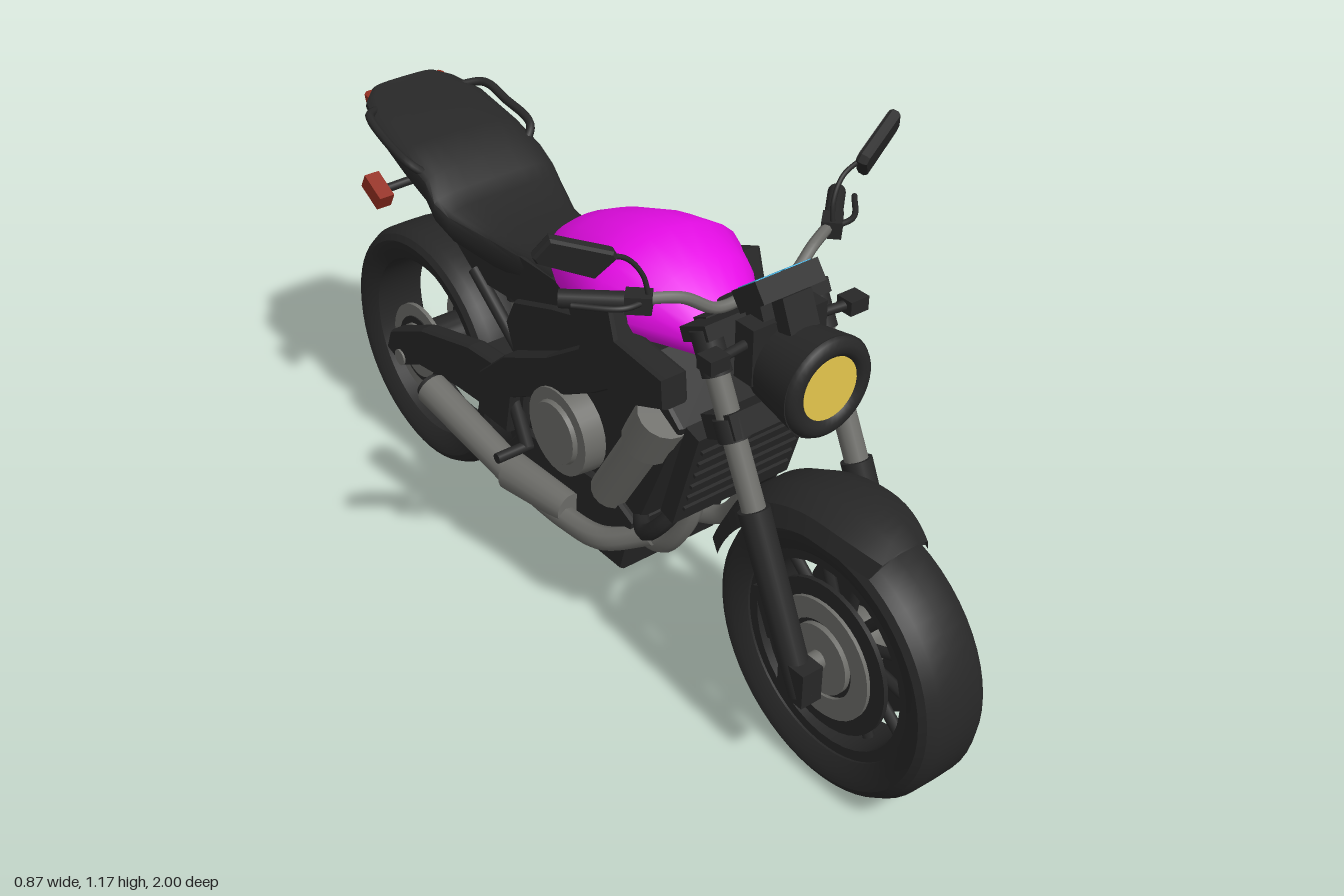
import * as THREE from 'three';
import { toCreasedNormals } from 'three/addons/utils/BufferGeometryUtils.js';

const mat = (name, color) => {
  const m = new THREE.MeshStandardMaterial({ color, side: THREE.DoubleSide });
  m.name = name;
  return m;
};

export function createModel() {
  const root = new THREE.Group();
  root.name = 'motorcycle';
  const black = mat('black', 0x272727), grey = mat('metal grey', 0x6c6c68), magenta = mat('magenta', 0xe60ce6);
  const yellow = mat('lamp yellow', 0xe4c64c), red = mat('lamp red', 0x922e20);
  const blue = mat('screen blue', 0x45b8ea), glass = mat('mirror glass', 0xb0b0b0);
  const V = (p) => new THREE.Vector3(...p);

  const add = (name, geo, m, parent = root) => {
    const mesh = new THREE.Mesh(geo, m);
    mesh.name = name;
    parent.add(mesh);
    return mesh;
  };
  const box = (name, size, pos, m, rot = [0, 0, 0]) => {
    const b = add(name, new THREE.BoxGeometry(...size), m);
    b.position.set(...pos);
    b.rotation.set(...rot);
  };
  // cylinder between two points
  const rod = (name, a, b, r1, m, r2 = r1, parent = root, seg = 16) => {
    const d = V(b).sub(V(a));
    const c = add(name, new THREE.CylinderGeometry(r2, r1, d.length(), seg), m, parent);
    c.position.copy(V(a)).addScaledVector(d, 0.5);
    c.quaternion.setFromUnitVectors(new THREE.Vector3(0, 1, 0), d.normalize());
  };
  const tube = (name, pts, r, m) =>
    add(name, new THREE.TubeGeometry(new THREE.CatmullRomCurve3(pts.map(V)), 28, r, 8), m);
  // side outline of [z, y] points extruded across x
  const plate = (name, pts, x0, x1, m, bevel = 0.008) => {
    const g = new THREE.ExtrudeGeometry(new THREE.Shape(pts.map((p) => new THREE.Vector2(...p))), {
      depth: x1 - x0 - 2 * bevel, bevelEnabled: true, bevelSize: bevel / 2, bevelThickness: bevel, bevelSegments: 1 });
    g.rotateY(-Math.PI / 2).translate(x1 - bevel, 0, 0);
    return add(name, g, m);
  };
  // body through [z, halfWidth, bottom, widestY, top], front to back
  const loft = (name, secs, m, pow = 0.8, n = 24) => {
    const pos = [], idx = [];
    secs.forEach(([z, w, yb, ym, yt]) => {
      for (let j = 0; j < n; j++) {
        const a = (j / n) * Math.PI * 2, c = Math.cos(a), s = Math.sin(a);
        const y = Math.sign(s) * Math.abs(s) ** pow;
        pos.push(w * Math.sign(c) * Math.abs(c) ** pow, ym + y * (y > 0 ? yt - ym : ym - yb), z);
      }
    });
    const last = (secs.length - 1) * n, c0 = secs.length * n;
    for (const s of [secs[0], secs.at(-1)]) pos.push(0, s[3], s[0]);
    for (let j = 0; j < n; j++) {
      const k = (j + 1) % n;
      for (let i = 0; i < last; i += n) idx.push(i + j, i + n + j, i + k, i + k, i + n + j, i + n + k);
      idx.push(c0, j, k, c0 + 1, last + k, last + j);
    }
    const g = new THREE.BufferGeometry();
    g.setAttribute('position', new THREE.Float32BufferAttribute(pos, 3));
    g.setIndex(idx);
    return add(name, toCreasedNormals(g, 0.7), m);
  };
  // lathe of [radius, x] points turned about the wheel axle
  const axleLathe = (name, pts, m, parent, start = 0, len = Math.PI * 2, seg = 56) => {
    const g = new THREE.LatheGeometry(pts.map((p) => new THREE.Vector2(...p)), seg, start, len);
    return add(name, toCreasedNormals(g.rotateZ(Math.PI / 2), 0.5), m, parent);
  };
  const disc = (name, r0, r1, x, t, m, parent) =>
    axleLathe(name, [[r0, x - t], [r1, x - t], [r1, x + t], [r0, x + t], [r0, x - t]], m, parent, 0, Math.PI * 2, 36);
  const both = (fn) => [1, -1].forEach(fn);

  // wheels
  const wheel = (name, z) => {
    const g = new THREE.Group();
    g.name = name;
    g.position.set(0, 0.3, z);
    root.add(g);
    axleLathe('tire', [[0.222, -0.06], [0.25, -0.078], [0.272, -0.08], [0.287, -0.072], [0.299, -0.05], [0.3, 0],
      [0.299, 0.05], [0.287, 0.072], [0.272, 0.08], [0.25, 0.078], [0.222, 0.06], [0.222, -0.06]], black, g);
    rod('axle', [-0.14, 0, 0], [0.14, 0, 0], 0.02, grey, 0.02, g);
    return g;
  };
  const front = wheel('frontWheel', 0.7);
  disc('rim', 0.2, 0.223, 0, 0.055, black, front);
  disc('hub', 0.01, 0.06, 0, 0.06, grey, front);
  for (let i = 0; i < 12; i++) {
    const a = (i / 12) * Math.PI * 2;
    rod('spoke', [0, 0.05 * Math.cos(a), 0.05 * Math.sin(a)],
      [0, 0.21 * Math.cos(a + 0.12), 0.21 * Math.sin(a + 0.12)], 0.012, black, 0.012, front, 6);
  }
  both((s) => {
    disc('discCarrier', 0.03, 0.165, s * 0.055, 0.005, black, front);
    disc('brakeDisc', 0.085, 0.13, s * 0.066, 0.004, grey, front);
    disc('discCentre', 0.02, 0.075, s * 0.068, 0.006, grey, front);
  });
  const rear = wheel('rearWheel', -0.7);
  disc('hub', 0.02, 0.06, 0, 0.07, black, rear);
  both((s) => {
    disc('brakeDisc', 0.07, 0.115, s * 0.075, 0.005, grey, rear);
    disc('discCentre', 0.02, 0.085, s * 0.075, 0.008, black, rear);
    disc('sprocketRing', 0.03, 0.068, s * 0.084, 0.005, grey, rear);
  });

  // front fender, narrowing to a rounded front tip
  const fender = new THREE.Group();
  fender.name = 'frontFender';
  fender.position.set(0, 0.3, 0.7);
  root.add(fender);
  const shell = axleLathe('fenderShell', [[0.29, -0.1], [0.325, -0.085], [0.348, -0.035], [0.348, 0.035], [0.325, 0.085], [0.29, 0.1],
    [0.315, 0.08], [0.338, 0.035], [0.338, -0.035], [0.315, -0.08], [0.29, -0.1]], black, fender, 1.17, 1.63, 24);
  const fp = shell.geometry.attributes.position;
  for (let i = 0; i < fp.count; i++) {
    const t = Math.max(0, fp.getZ(i)) / 0.14;
    fp.setX(i, fp.getX(i) * (1 - 0.4 * t * t));
  }

  // fork, grips, mirrors, pegs and lamps, mirrored left and right
  both((s) => {
    const x = s * 0.13;
    rod('forkLower', [x, 0.26, 0.72], [x, 0.6, 0.56], 0.028, black, 0.032);
    rod('forkTube', [x, 0.58, 0.57], [x, 0.86, 0.435], 0.024, grey);
    rod('forkClamp', [x, 0.725, 0.5], [x, 0.765, 0.48], 0.032, black);
    rod('forkCap', [x, 0.84, 0.445], [x, 0.92, 0.405], 0.03, black);
    box('forkFoot', [0.05, 0.08, 0.07], [x, 0.29, 0.71], black);
    box('brakeCaliper', [0.045, 0.11, 0.05], [s * 0.095, 0.37, 0.6], black, [-0.45, 0, 0]);
    tube('handlebar', [[0, 0.94, 0.39], [s * 0.09, 0.94, 0.39], [s * 0.16, 0.98, 0.375], [s * 0.25, 0.988, 0.335]], 0.012, grey);
    rod('grip', [s * 0.24, 0.985, 0.34], [s * 0.34, 0.982, 0.245], 0.018, black);
    box('switchBox', [0.05, 0.035, 0.04], [s * 0.235, 0.985, 0.345], black, [0, s * 0.75, 0]);
    tube('lever', [[s * 0.23, 0.99, 0.36], [s * 0.28, 0.99, 0.355], [s * 0.345, 0.99, 0.29]], 0.006, black);
    tube('mirrorStem', [[s * 0.222, 0.99, 0.36], [s * 0.23, 1.04, 0.35], [s * 0.26, 1.08, 0.34], [s * 0.315, 1.1, 0.335]], 0.005, black);
    const mirror = new THREE.Group();
    mirror.name = 'mirror';
    mirror.position.set(s * 0.36, 1.115, 0.32);
    mirror.rotation.set(0.3, s * 0.4, s * 0.32);
    root.add(mirror);
    const outline = new THREE.Shape([[-0.055, -0.03], [0.06, -0.026], [0.07, -0.018], [0.062, 0.026], [-0.06, 0.03], [-0.07, 0.022]]
      .map(([a, b]) => new THREE.Vector2(a * s, b)));
    add('mirrorShell', new THREE.ExtrudeGeometry(outline, { depth: 0.012, bevelSize: 0.004, bevelThickness: 0.006, bevelSegments: 1 }), black, mirror);
    const pane = add('mirrorGlass', new THREE.ShapeGeometry(outline), glass, mirror);
    pane.position.z = -0.0075;
    pane.scale.set(0.94, 0.9, 1);
    rod('frontIndicatorStalk', [s * 0.08, 0.9, 0.47], [s * 0.16, 0.9, 0.48], 0.01, black);
    box('frontIndicator', [0.045, 0.03, 0.04], [s * 0.17, 0.9, 0.48], black);
    rod('rearIndicatorStalk', [s * 0.1, 0.8, -0.62], [s * 0.18, 0.78, -0.65], 0.01, black);
    box('rearIndicator', [0.036, 0.038, 0.07], [s * 0.188, 0.78, -0.655], red, [0.5, 0, 0]);
    tube('grabRail', [[s * 0.12, 0.84, -0.53], [s * 0.16, 0.875, -0.56], [s * 0.162, 0.9, -0.66], [s * 0.152, 0.92, -0.73], [s * 0.11, 0.91, -0.77]], 0.01, black);
    rod('footPeg', [s * 0.1, 0.34, -0.17], [s * 0.22, 0.34, -0.17], 0.012, black);
    rod('pegBracket', [s * 0.14, 0.45, -0.22], [s * 0.14, 0.34, -0.17], 0.016, black);

    // frame, shrouds and swingarm
    const span = (a, b) => (s > 0 ? [a, b] : [-b, -a]);
    plate('tankShroud', [[0.19, 0.885], [0.06, 0.83], [0.1, 0.75], [0.08, 0.71], [0.24, 0.69], [0.36, 0.74], [0.355, 0.8], [0.21, 0.815]], ...span(0.13, 0.19), black);
    plate('frameBeam', [[0.24, 0.75], [0.1, 0.74], [-0.06, 0.63], [-0.22, 0.55], [-0.32, 0.46], [-0.32, 0.36], [-0.22, 0.36], [-0.2, 0.46], [-0.04, 0.55], [0.1, 0.63], [0.2, 0.7]], ...span(0.115, 0.16), black);
    plate('sideCover', [[0.04, 0.75], [-0.1, 0.71], [-0.24, 0.66], [-0.27, 0.6], [-0.24, 0.52], [-0.04, 0.6]], ...span(0.075, 0.115), black);
    plate('swingarm', [[-0.18, 0.49], [-0.4, 0.475], [-0.6, 0.42], [-0.74, 0.35], [-0.76, 0.3], [-0.7, 0.28], [-0.62, 0.32], [-0.45, 0.345], [-0.2, 0.36]], ...span(0.09, 0.135), black);
    rod('seatStrut', [s * 0.1, 0.5, -0.2], [s * 0.1, 0.66, -0.41], 0.015, black);
    rod('crankCover', [s * 0.1, 0.47, -0.02], [s * 0.165, 0.47, -0.02], 0.105, grey, 0.1, root, 28);
    rod('crankCap', [s * 0.16, 0.47, -0.02], [s * 0.175, 0.47, -0.02], 0.075, grey, 0.07, root, 28);
    rod('cylinderSide', [s * 0.115, 0.37, 0.1], [s * 0.115, 0.58, 0.23], 0.045, grey);
    rod('cylinderHead', [s * 0.11, 0.56, 0.22], [s * 0.11, 0.65, 0.27], 0.058, grey);
    tube('radiatorHose', [[s * 0.12, 0.46, 0.33], [s * 0.14, 0.41, 0.3], [s * 0.14, 0.36, 0.25], [s * 0.1, 0.34, 0.18]], 0.018, black);
  });
  box('lowerYoke', [0.3, 0.05, 0.09], [0, 0.745, 0.475], black, [-0.45, 0, 0]);
  box('upperYoke', [0.3, 0.03, 0.08], [0, 0.91, 0.4], black, [-0.45, 0, 0]);
  rod('steeringHead', [0, 0.72, 0.44], [0, 0.92, 0.36], 0.05, black);
  box('headstockCover', [0.21, 0.18, 0.04], [0, 0.83, 0.4], black, [-0.45, 0, 0]);

  // headlight and dash
  rod('headlightShell', [0, 0.84, 0.48], [0, 0.84, 0.6], 0.085, black, 0.105, root, 32);
  const bezel = add('headlightBezel', new THREE.TorusGeometry(0.083, 0.021, 10, 36), black);
  bezel.position.set(0, 0.84, 0.596);
  rod('headlightLens', [0, 0.84, 0.6], [0, 0.84, 0.608], 0.065, yellow, 0.065, root, 32);
  box('headlightBracket', [0.18, 0.12, 0.05], [0, 0.88, 0.47], black);
  box('dashPod', [0.15, 0.045, 0.08], [0, 0.987, 0.458], black, [-0.65, 0, 0]);
  box('dashNeck', [0.11, 0.08, 0.05], [0, 0.94, 0.455], black, [-0.4, 0, 0]);
  box('dashCowl', [0.07, 0.07, 0.035], [0, 0.955, 0.505], black, [-0.4, 0, 0]);
  both((s) => box('dashScreen', [0.062, 0.006, 0.058], [s * 0.035, 1.0038, 0.4452], blue, [-0.65, 0, 0]));

  // tank
  loft('fuelTank', [[0.36, 0.05, 0.78, 0.81, 0.83], [0.31, 0.09, 0.77, 0.83, 0.885], [0.24, 0.137, 0.77, 0.84, 0.94],
    [0.14, 0.187, 0.76, 0.84, 0.966], [0.05, 0.172, 0.745, 0.83, 0.955], [-0.06, 0.135, 0.745, 0.82, 0.92],
    [-0.13, 0.1, 0.76, 0.82, 0.885], [-0.175, 0.062, 0.78, 0.81, 0.85]], magenta, 0.95);

  // seat and tail
  loft('seat', [[-0.12, 0.1, 0.71, 0.75, 0.8], [-0.22, 0.1, 0.69, 0.75, 0.79], [-0.33, 0.115, 0.68, 0.76, 0.79],
    [-0.43, 0.15, 0.71, 0.78, 0.81], [-0.47, 0.16, 0.74, 0.8, 0.83], [-0.51, 0.155, 0.77, 0.83, 0.865], [-0.6, 0.153, 0.8, 0.86, 0.895],
    [-0.73, 0.145, 0.86, 0.895, 0.92], [-0.8, 0.12, 0.89, 0.91, 0.933], [-0.83, 0.085, 0.91, 0.925, 0.94]], black, 0.6);
  plate('subframe', [[-0.05, 0.77], [-0.4, 0.77], [-0.5, 0.82], [-0.8, 0.925], [-0.63, 0.79], [-0.5, 0.71], [-0.4, 0.64], [-0.25, 0.65], [-0.08, 0.7]], -0.1, 0.1, black);
  plate('tailLight', [[-0.745, 0.875], [-0.77, 0.87], [-0.825, 0.908], [-0.83, 0.924], [-0.79, 0.92]], -0.105, 0.105, red);

  // engine, belly pan and radiator
  plate('engineBlock', [[0.12, 0.3], [-0.26, 0.28], [-0.31, 0.42], [-0.22, 0.56], [0, 0.68], [0.2, 0.74], [0.32, 0.64], [0.24, 0.45], [0.2, 0.36]], -0.115, 0.115, black);
  plate('bellyPan', [[0.15, 0.2], [-0.26, 0.2], [-0.27, 0.28], [-0.2, 0.36], [0.1, 0.38], [0.19, 0.34]], -0.13, 0.13, black);
  for (let i = 0; i < 5; i++) box('panFin', [0.266, 0.05, 0.012], [0, 0.222, 0.05 - i * 0.028], black);
  box('radiator', [0.3, 0.25, 0.04], [0, 0.57, 0.365], black, [0.3, 0, 0]);
  for (let i = 0; i < 6; i++) box('radiatorFin', [0.27, 0.008, 0.05], [0, 0.49 + i * 0.032, 0.342 + i * 0.01], black, [0.3, 0, 0]);
  rod('shockBody', [0, 0.42, -0.35], [0, 0.6, -0.38], 0.028, grey);
  rod('shockTop', [0, 0.57, -0.375], [0, 0.68, -0.4], 0.036, black);
  box('swingarmBridge', [0.2, 0.09, 0.1], [0, 0.43, -0.34], black);
  plate('chainGuard', [[-0.42, 0.47], [-0.6, 0.445], [-0.76, 0.47], [-0.62, 0.425]], 0.09, 0.12, black, 0.002);

  // exhaust on one side, stand and shift lever on the other
  both((s) => tube('headerPipe', [[s * 0.06, 0.55, 0.3], [s * 0.07, 0.42, 0.31], [s * 0.08, 0.3, 0.24], [s * 0.06, 0.25, 0.12]], 0.022, grey));
  tube('exhaustPipe', [[-0.1, 0.32, 0.22], [-0.15, 0.27, 0.12], [-0.16, 0.255, 0], [-0.17, 0.27, -0.15], [-0.185, 0.3, -0.22]], 0.026, grey);
  rod('exhaustCollector', [-0.15, 0.275, 0], [-0.172, 0.28, -0.18], 0.035, grey, 0.044);
  rod('muffler', [-0.175, 0.28, -0.16], [-0.205, 0.37, -0.45], 0.035, grey, 0.038);
  rod('mufflerTip', [-0.204, 0.366, -0.44], [-0.206, 0.373, -0.463], 0.03, black);
  rod('sideStand', [0.13, 0.24, -0.14], [0.175, 0.235, -0.34], 0.01, black);
  box('sideStandFoot', [0.05, 0.012, 0.03], [0.19, 0.235, -0.345], black);
  rod('shiftLever', [0.14, 0.31, -0.16], [0.16, 0.31, -0.03], 0.007, black);
  rod('shiftPedal', [0.14, 0.31, -0.03], [0.2, 0.31, -0.03], 0.01, black);

  return root;
}
